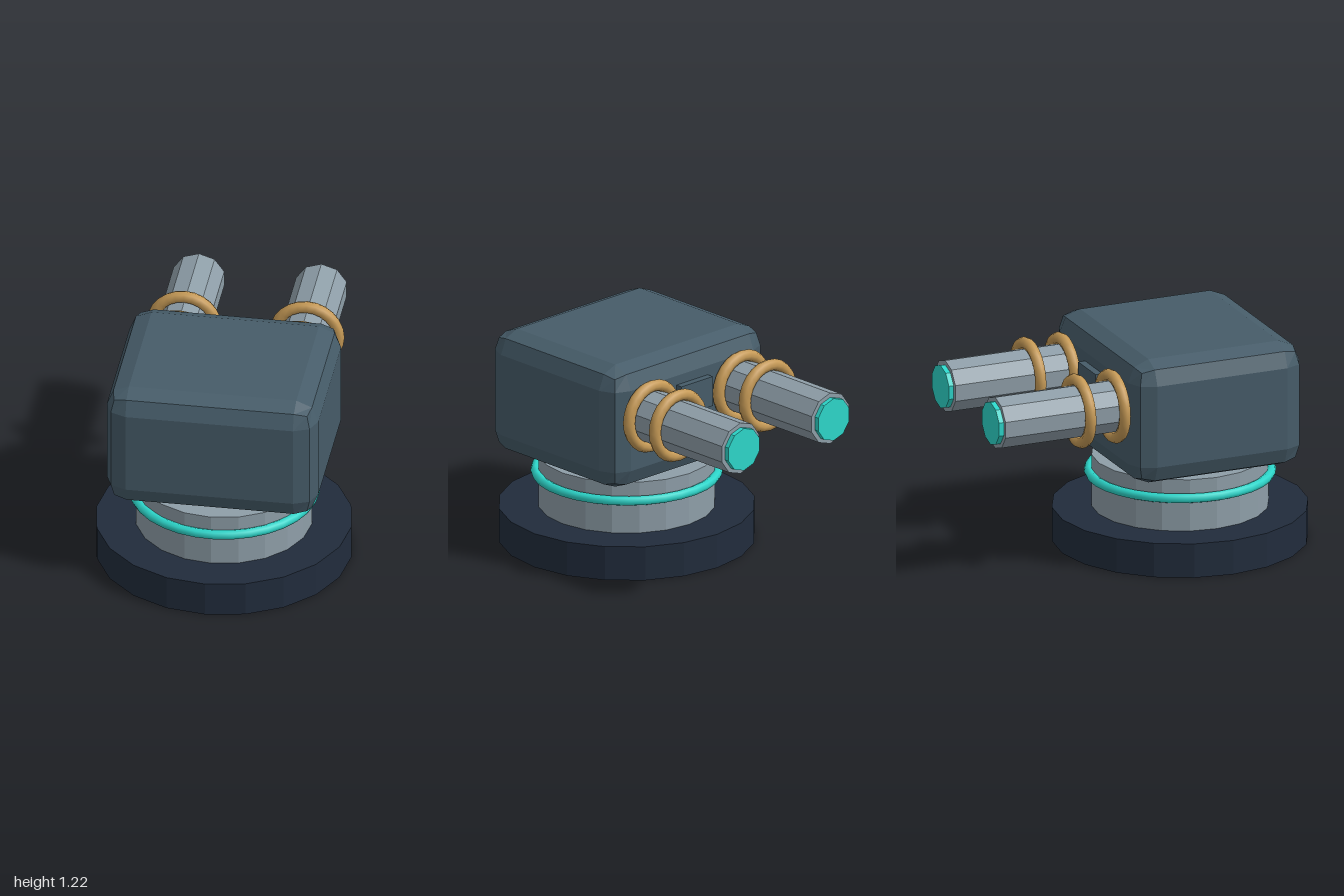
import * as THREE from 'three';
import { RoundedBoxGeometry } from 'three/addons/geometries/RoundedBoxGeometry.js';

const makeMaterial = (name, color) => {
  const material = new THREE.MeshStandardMaterial({ color });
  material.name = name;
  return material;
};

// Faceted normals for the low-poly parts
function faceted(geometry) {
  const flat = geometry.index ? geometry.toNonIndexed() : geometry;
  flat.computeVertexNormals();
  return flat;
}

function addPart(parent, name, geometry, material, x, y, z) {
  const mesh = new THREE.Mesh(geometry, material);
  mesh.name = name;
  mesh.position.set(x, y, z);
  parent.add(mesh);
  return mesh;
}

// Ten-sided rod lying along z, between two z values
function rod(radius, z0, z1) {
  const g = new THREE.CylinderGeometry(radius, radius, z1 - z0, 10);
  g.rotateX(Math.PI / 2);
  g.translate(0, 0, (z0 + z1) / 2);
  return faceted(g);
}

export function createModel() {
  const navy = makeMaterial('dark navy', 0x212c3c);
  const slate = makeMaterial('slate blue', 0x465c69);
  const steel = makeMaterial('steel grey', 0x8e9ea8);
  const brass = makeMaterial('brass', 0xc69a56);
  const cyan = makeMaterial('glowing cyan', 0x2dd6ca);

  const model = new THREE.Group();
  model.name = 'turret';

  // Fixed pedestal
  const pedestal = new THREE.Group();
  pedestal.name = 'pedestal';
  pedestal.position.set(-0.21, 0, 0.295);
  model.add(pedestal);
  addPart(pedestal, 'base', faceted(new THREE.CylinderGeometry(0.703, 0.703, 0.195, 20)), navy, 0, 0.0975, 0);
  addPart(pedestal, 'column', faceted(new THREE.CylinderGeometry(0.485, 0.485, 0.295, 20)), steel, 0, 0.3425, 0);
  const glow = new THREE.TorusGeometry(0.498, 0.027, 8, 32);
  glow.rotateX(Math.PI / 2);
  addPart(pedestal, 'glowRing', glow, cyan, 0, 0.388, 0);

  // Swivelled head, barrels pointing along its local -z
  const head = new THREE.Group();
  head.name = 'head';
  head.position.set(-0.208, 0, 0.29);
  head.rotation.y = -0.64;
  model.add(head);
  addPart(head, 'housing', faceted(new RoundedBoxGeometry(1.168, 0.71, 1.018, 1, 0.122)), slate, 0, 0.865, 0);
  addPart(head, 'sensorBlock', new THREE.BoxGeometry(0.235, 0.17, 0.1), slate, 0, 0.96, -0.5);

  // Twin barrels with coils and glowing muzzles
  for (const [side, x] of [['right', -0.338], ['left', 0.338]]) {
    const barrel = new THREE.Group();
    barrel.name = side + 'Barrel';
    barrel.position.set(x, 0.933, 0);
    head.add(barrel);
    addPart(barrel, 'tube', rod(0.147, -1.245, -0.42), steel, 0, 0, 0);
    addPart(barrel, 'muzzle', rod(0.122, -1.273, -1.2), cyan, 0, 0, 0);
    for (const z of [-0.548, -0.752]) {
      addPart(barrel, 'coil', new THREE.TorusGeometry(0.174, 0.033, 8, 24), brass, 0, 0, z);
    }
  }
  return model;
}
